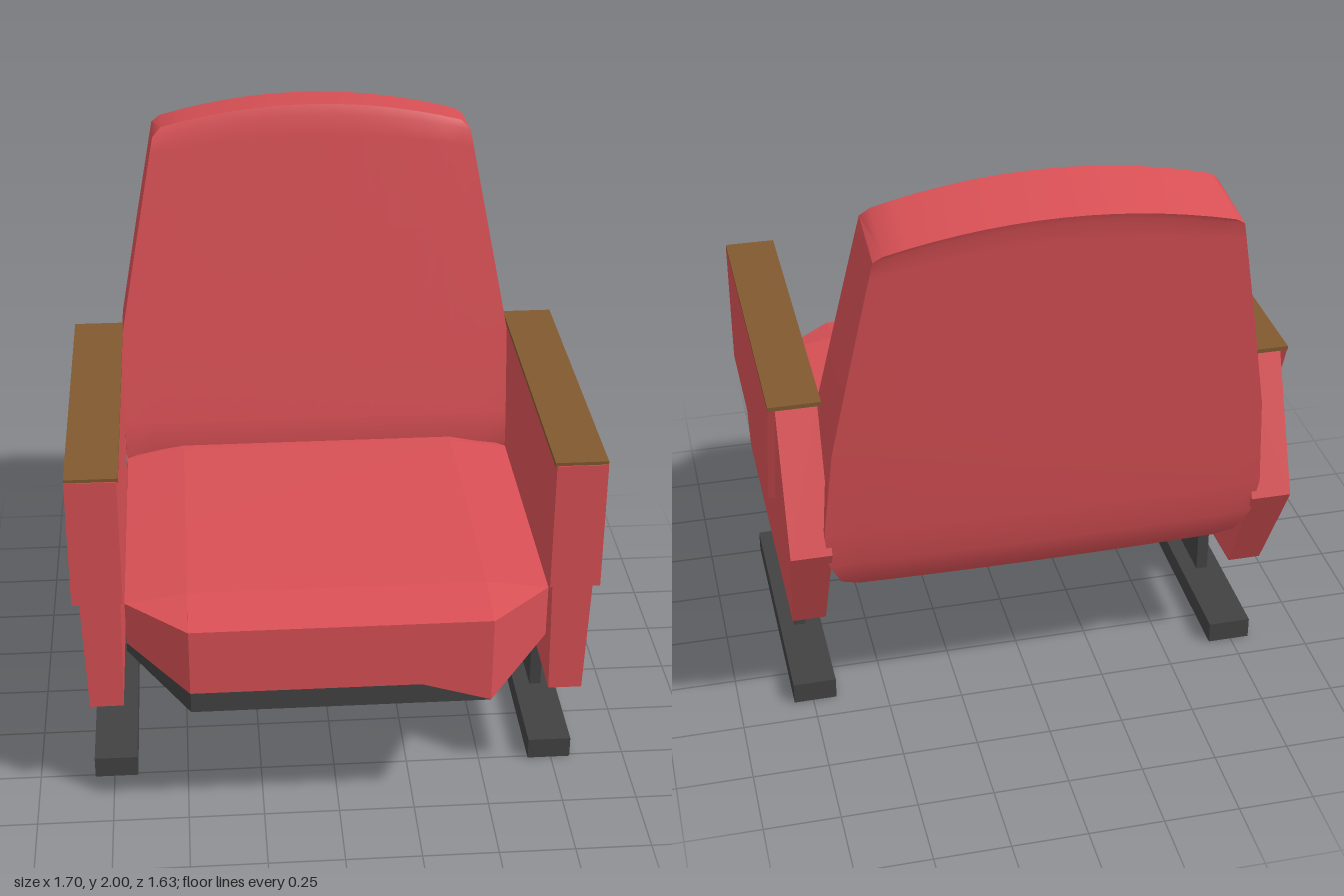
import * as THREE from 'three';
import { toCreasedNormals } from 'three/addons/utils/BufferGeometryUtils.js';

const fabric = new THREE.MeshStandardMaterial({ color: 0xd85055 });
const wood = new THREE.MeshStandardMaterial({ color: 0x80592e });
const metal = new THREE.MeshStandardMaterial({ color: 0x424242 });

function mesh(name, geometry, material) {
  const m = new THREE.Mesh(geometry, material);
  m.name = name;
  return m;
}

// Box given by its extents
function box(name, x0, x1, y0, y1, z0, z1, material) {
  const g = new THREE.BoxGeometry(x1 - x0, y1 - y0, z1 - z0);
  g.translate((x0 + x1) / 2, (y0 + y1) / 2, (z0 + z1) / 2);
  return mesh(name, g, material);
}

// Closed skin over equal rings of [x, y, z] points (even count), capped with strips
function loft(rings, crease = 0.5) {
  const n = rings[0].length, index = [];
  const quad = (a, b, c, d) => index.push(a, b, c, a, c, d);
  for (let r = 0; r < rings.length - 1; r++)
    for (let i = 0; i < n; i++) {
      const j = (i + 1) % n;
      quad(r * n + i, r * n + j, (r + 1) * n + j, (r + 1) * n + i);
    }
  const last = (rings.length - 1) * n;
  for (let i = 0; i < n / 2 - 1; i++) {
    quad(i, n - 1 - i, n - 2 - i, i + 1);
    quad(last + i, last + i + 1, last + n - 2 - i, last + n - 1 - i);
  }
  // Turn all faces outward by the sign of the enclosed volume
  const p = rings.flat().map((v) => new THREE.Vector3(...v));
  let volume = 0;
  for (let i = 0; i < index.length; i += 3)
    volume += p[index[i]].dot(p[index[i + 1]].clone().cross(p[index[i + 2]]));
  if (volume < 0) index.reverse();
  const g = new THREE.BufferGeometry().setFromPoints(p);
  g.setIndex(index);
  return toCreasedNormals(g, crease);
}

// Plate from a [z, y] profile, extruded along x
function plate(profile, x0, x1) {
  const shape = new THREE.Shape(profile.map(([z, y]) => new THREE.Vector2(-z, y)));
  const g = new THREE.ExtrudeGeometry(shape, { depth: x1 - x0, bevelEnabled: false });
  return g.rotateY(Math.PI / 2).translate(x0, 0, 0);
}

// Cushion and pan under it, as cross-sections along z
function createSeat() {
  const seat = new THREE.Group();
  seat.name = 'seat';
  const c = 0.48;
  const cushion = [ // z, half width, top, shoulder, middle bottom, right and left side bottoms
    [0.815, 0.481, 0.775, 0.774, 0.545, 0.545, 0.475],
    [0.64, 0.68, 0.81, 0.78, 0.545, 0.63, 0.6],
    [-0.31, 0.68, 0.81, 0.78, 0.545, 0.6, 0.6],
    [-0.36, 0.63, 0.805, 0.775, 0.545, 0.6, 0.6],
  ].map(([z, w, top, shoulder, mid, right, left]) => [
    [-w, right, z], [-w, shoulder, z], [-c, top, z], [c, top, z],
    [w, shoulder, z], [w, left, z], [c, mid, z], [-c, mid, z],
  ]);
  const pan = [ // z, half width, top, right and left side tops, side bottom, bottom
    [0.815, 0.48, 0.545, 0.545, 0.476, 0.475, 0.474],
    [0.64, 0.68, 0.56, 0.63, 0.601, 0.6, 0.44],
    [-0.28, 0.68, 0.56, 0.601, 0.601, 0.6, 0.44],
    [-0.46, 0.62, 0.62, 0.62, 0.62, 0.61, 0.55],
  ].map(([z, w, top, right, left, side, low]) => [
    [-w, side, z], [-w, right, z], [-c, top, z], [c, top, z],
    [w, left, z], [w, side, z], [c, low, z], [-c, low, z],
  ]);
  seat.add(mesh('seatCushion', loft(cushion, 0.1), fabric), mesh('seatPan', loft(pan, 0.1), metal));
  return seat;
}

// Leaning back: rings from bottom to top, each with a front and a rear edge
function createBackrest() {
  const steps = 14;
  const rows = [ // front y, z, half width; rear y, z, half width; rise in the middle
    [0.62, -0.45, 0.6, 0.59, -0.57, 0.6, 0],
    [0.66, -0.38, 0.66, 0.63, -0.605, 0.66, 0],
    [0.78, -0.34, 0.685, 0.72, -0.64, 0.7, 0],
    [0.9, -0.357, 0.685, 0.85, -0.663, 0.715, 0],
    [1.2, -0.415, 0.685, 1.18, -0.707, 0.685, 0],
    [1.55, -0.483, 0.618, 1.52, -0.753, 0.622, 0.03],
    [1.84, -0.54, 0.562, 1.81, -0.79, 0.566, 0.06],
    [1.9, -0.552, 0.55, 1.87, -0.798, 0.554, 0.068],
    [1.93, -0.57, 0.52, 1.89, -0.806, 0.525, 0.07],
  ];
  const rings = rows.map(([yf, zf, wf, yb, zb, wb, rise]) => {
    const edge = (y, z, w, dir, bow) => Array.from({ length: steps + 1 }, (_, i) => {
      const t = dir * (2 * i / steps - 1), k = 1 - t * t;
      return [w * t, y + rise * k, z - bow * k];
    });
    return [...edge(yf, zf, wf, 1, 0), ...edge(yb, zb, wb, -1, 0.01)];
  });
  return mesh('backrest', loft(rings, 0.6), fabric);
}

// Armrest, side panel, post and foot of the +x side
function createSide(name) {
  const side = new THREE.Group();
  side.name = name;

  const panel = plate([[0.64, 0.385], [0.64, 0.82], [-0.31, 0.82], [-0.475, 1.224],
    [-0.665, 0.78], [-0.47, 0.395]], 0.7, 0.81);
  // Widen the panel slightly towards the armrest
  const p = panel.attributes.position;
  for (let i = 0; i < p.count; i++) {
    const t = THREE.MathUtils.clamp((p.getY(i) - 0.39) / 0.4, 0, 1);
    p.setX(i, p.getX(i) + (p.getX(i) > 0.75 ? 0.015 : -0.008) * t);
  }
  panel.computeVertexNormals();
  side.add(mesh('sidePanel', panel, fabric));

  // Tapered underside
  side.add(mesh('panelBottom', loft([
    [[0.7, 0.385, 0.64], [0.81, 0.385, 0.64], [0.81, 0.395, -0.47], [0.7, 0.395, -0.47]],
    [[0.73, 0.32, 0.18], [0.77, 0.32, 0.18], [0.77, 0.32, -0.08], [0.73, 0.32, -0.08]],
  ], 0.1), fabric));

  const arm = plate([[0.641, 0.78], [0.641, 1.225], [-0.48, 1.225], [-0.305, 0.78]], 0.685, 0.848);
  side.add(mesh('armrest', arm, fabric));
  side.add(box('armrestTop', 0.68, 0.848, 1.222, 1.236, -0.483, 0.638, wood));
  side.add(box('post', 0.725, 0.765, 0.06, 0.34, -0.08, 0.18, metal));
  side.add(box('foot', 0.67, 0.815, 0, 0.075, -0.41, 0.51, metal));
  return side;
}

export function createModel() {
  const model = new THREE.Group();
  model.name = 'auditoriumChair';
  const right = createSide('rightSide');
  right.scale.x = -1;
  model.add(createSeat(), createBackrest(), createSide('leftSide'), right);
  return model;
}
